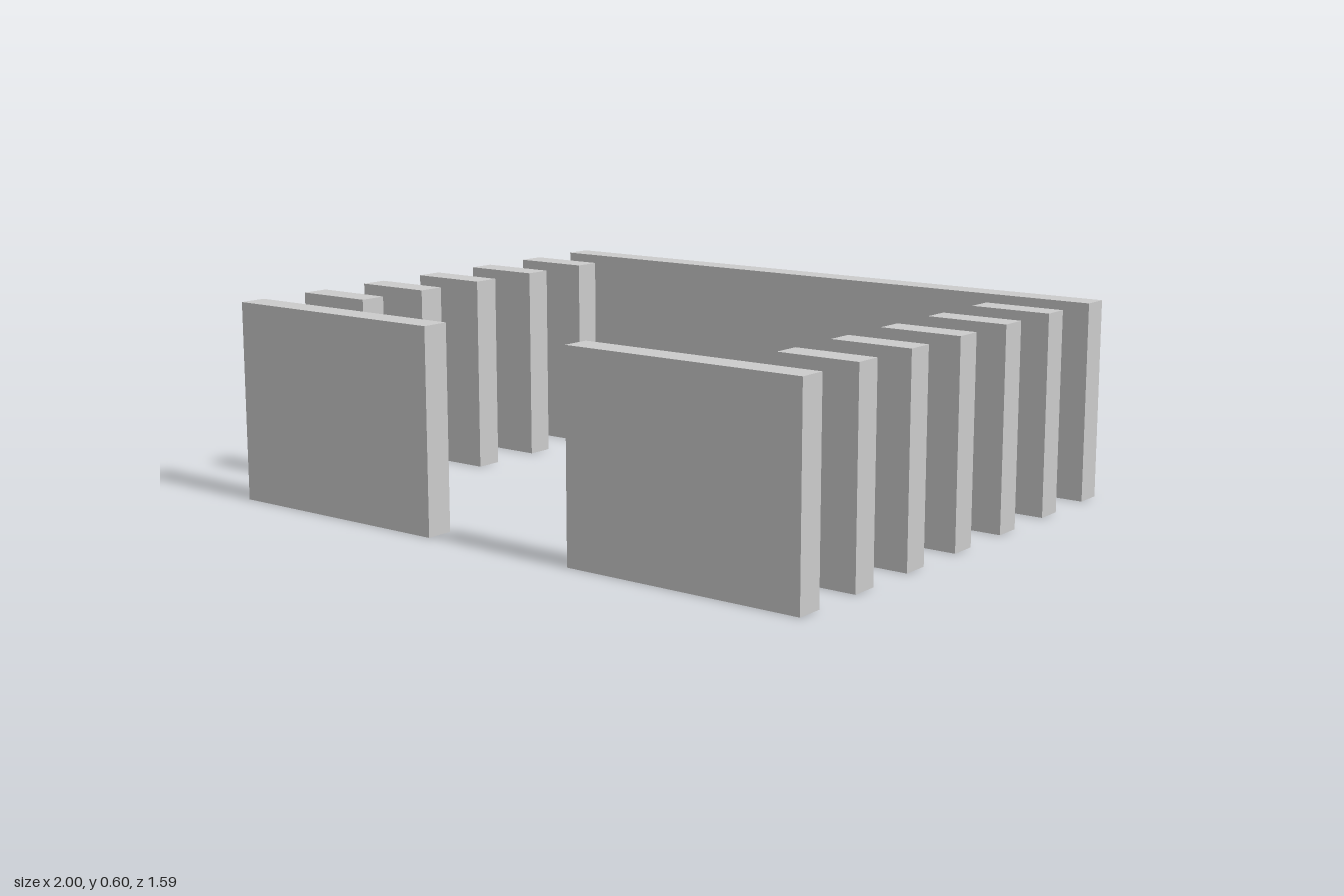
import * as THREE from 'three';

const HEIGHT = 0.6;
const THICKNESS = 0.085;
const PITCH = 0.25; // spacing between wall rows along z

export function createModel() {
  const model = new THREE.Group();
  model.name = 'slattedEnclosure';
  const material = new THREE.MeshStandardMaterial({ color: 0xcccccc, flatShading: true });

  // Upright slab spanning x0..x1, centred on z
  const addSlab = (name, x0, x1, z) => {
    const slab = new THREE.Mesh(new THREE.BoxGeometry(x1 - x0, HEIGHT, THICKNESS), material);
    slab.position.set((x0 + x1) / 2, HEIGHT / 2, z);
    slab.name = name;
    model.add(slab);
  };

  // Full-width back wall
  addSlab('backWall', -1, 1, -3 * PITCH);

  // Front walls either side of the entrance
  addSlab('frontWallLeft', 0.253, 1, 3 * PITCH);
  addSlab('frontWallRight', -1, -0.253, 3 * PITCH);

  // Row of short fins along each side
  for (let row = -2; row <= 2; row++) {
    addSlab(`sideFinLeft${row + 3}`, 0.75, 1, row * PITCH);
    addSlab(`sideFinRight${row + 3}`, -1, -0.75, row * PITCH);
  }

  return model;
}
